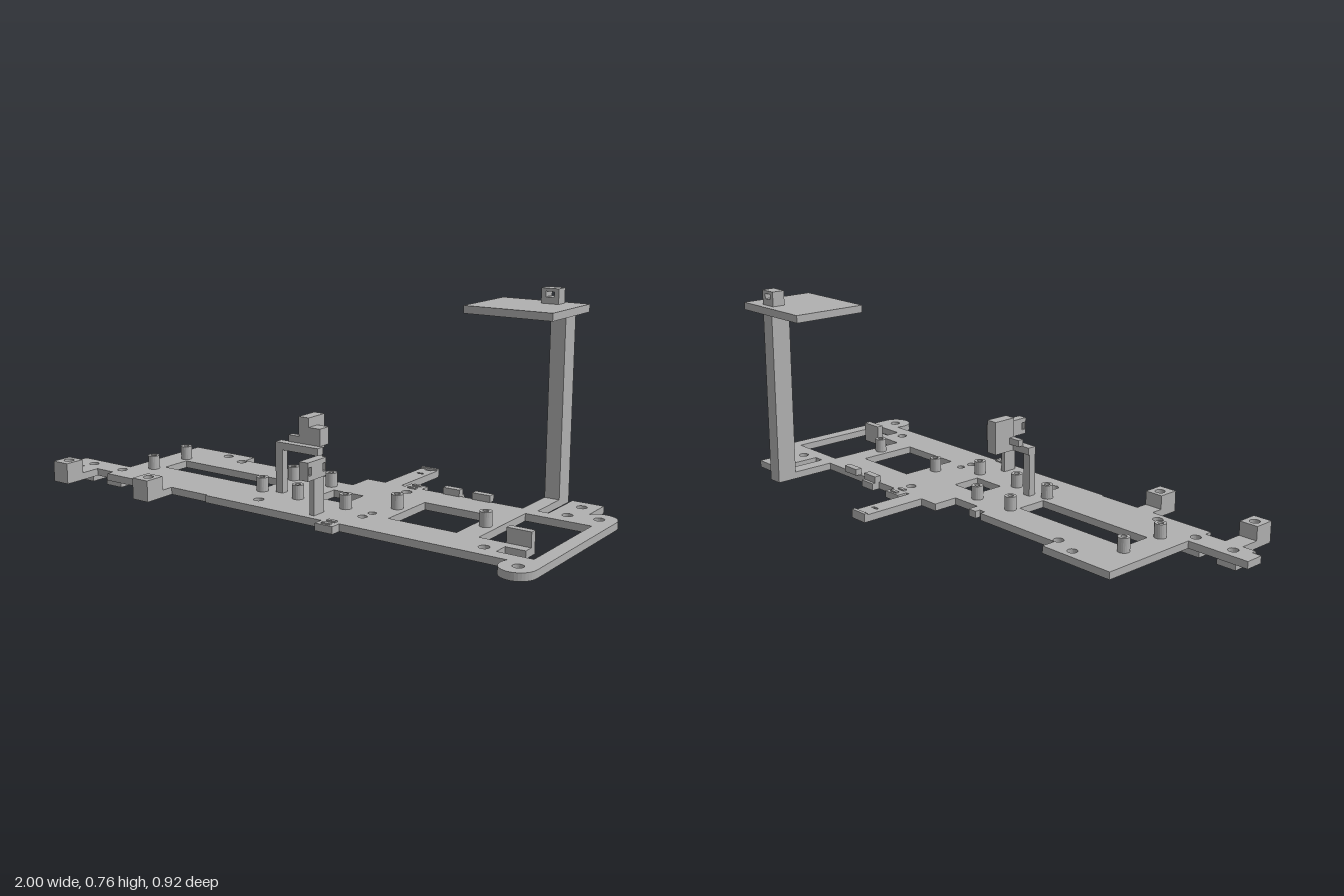
import * as THREE from 'three';

const BOTTOM = 0.027, TOP = 0.053;

export function createModel() {
  const model = new THREE.Group();
  model.name = 'chassis';
  const grey = new THREE.MeshStandardMaterial({ color: 0xb0b0b0 });
  grey.name = 'grey plastic';

  const add = (name, geometry) => {
    const mesh = new THREE.Mesh(geometry, grey);
    mesh.name = name;
    model.add(mesh);
    return mesh;
  };
  // Box given by its limits on each axis
  const box = (name, x0, x1, y0, y1, z0, z1) =>
    add(name, new THREE.BoxGeometry(x1 - x0, y1 - y0, z1 - z0)
      .translate((x0 + x1) / 2, (y0 + y1) / 2, (z0 + z1) / 2));
  const polygon = (points) => new THREE.Path(points.map(([x, z]) => new THREE.Vector2(x, z)));
  const rect = (x0, x1, z0, z1) => polygon([[x0, z0], [x1, z0], [x1, z1], [x0, z1]]);
  const circle = (x, z, r) => new THREE.Path().absarc(x, z, r, 0, Math.PI * 2, false);
  // Shape drawn in plan (x, z) and extruded between two heights
  const slab = (name, outline, holes, y0, y1) => {
    const shape = outline instanceof THREE.Shape ? outline : new THREE.Shape(outline.getPoints(10));
    shape.holes.push(...holes);
    const geometry = new THREE.ExtrudeGeometry(shape, { depth: y1 - y0, bevelEnabled: false, curveSegments: 10 });
    return add(name, geometry.rotateX(Math.PI / 2).translate(0, y1, 0));
  };

  // Base plate outline: back edge, right ears, front edge, left arm
  const plate = new THREE.Shape();
  const lines = (points) => points.forEach(([x, z]) => plate.lineTo(x, z));
  plate.moveTo(-0.765, -0.16);
  lines([[-0.475, -0.16], [-0.475, -0.105], [-0.12, -0.105], [-0.12, -0.085], [-0.095, -0.085],
    [-0.095, -0.105], [-0.06, -0.105], [-0.06, -0.065], [0.055, -0.065], [0.055, -0.16],
    [0.13, -0.16], [0.13, -0.415], [0.2, -0.415], [0.2, -0.16], [0.215, -0.16], [0.215, -0.2],
    [0.285, -0.2], [0.285, -0.16], [0.375, -0.16], [0.375, -0.19], [0.44, -0.19], [0.44, -0.16],
    [0.68, -0.16], [0.68, -0.395], [0.735, -0.395], [0.735, -0.16], [0.775, -0.16],
    [0.775, -0.34], [0.89, -0.34], [0.89, -0.223]]);
  plate.absarc(0.94, -0.19, 0.06, Math.PI + 0.588, Math.PI * 2, false);
  plate.absarc(0.94, 0.37, 0.06, 0, Math.PI + 0.524, false);
  lines([[0.285, 0.342], [0.285, 0.38], [0.215, 0.38], [0.215, 0.345], [-0.28, 0.345], [-0.28, 0.338],
    [-0.445, 0.338], [-0.445, 0.385], [-0.515, 0.385], [-0.515, 0.338], [-0.765, 0.338],
    [-0.765, 0.31], [-0.845, 0.31], [-0.845, 0.385], [-0.915, 0.385], [-0.915, 0.31],
    [-0.965, 0.31], [-0.965, 0.29], [-1, 0.29], [-1, 0.22], [-0.765, 0.22]]);

  const posts = [[-0.68, 0], [-0.68, 0.18], [-0.16, 0], [-0.16, 0.18], [0, -0.01], [0, 0.185],
    [0.2, 0.185], [0.34, 0.085], [0.675, 0.085]];
  const screwHoles = [[-0.57, -0.12], [-0.475, -0.085], [0.26, -0.1], [-0.1, 0.275], [0.775, 0.275],
    [0.835, -0.285], [0.835, -0.175], [0.94, -0.19], [0.94, 0.37], [-0.91, 0.265], [-0.76, 0.265],
    [-0.57, 0.3]];
  const cutouts = [
    rect(-0.655, -0.175, 0.03, 0.145),
    rect(0.04, 0.165, 0.03, 0.14),
    rect(0.38, 0.635, -0.025, 0.2),
    polygon([[0.715, -0.11], [0.95, -0.11], [0.95, 0.29], [0.825, 0.29], [0.825, 0.235],
      [0.895, 0.235], [0.895, 0.175], [0.81, 0.175], [0.81, 0.2], [0.715, 0.2]]),
    ...screwHoles.map(([x, z]) => circle(x, z, 0.018)),
    ...posts.map(([x, z]) => circle(x, z, 0.01)),
    circle(0.305, 0.182, 0.014), circle(0.3, 0.232, 0.016),
    rect(0.153, 0.18, -0.402, -0.392), rect(0.153, 0.18, -0.345, -0.335),
  ];
  slab('base plate', plate, cutouts, BOTTOM, TOP);

  // Hollow standoff posts
  for (const [x, z] of posts) {
    const profile = [[0.01, TOP], [0.021, TOP], [0.021, 0.103], [0.01, 0.103], [0.01, TOP]];
    const geometry = new THREE.LatheGeometry(profile.map(([r, y]) => new THREE.Vector2(r, y)), 20).toNonIndexed();
    geometry.computeVertexNormals();
    add('standoff post', geometry.translate(x, 0, z));
  }

  // Front mounting blocks and the nut pockets under the left arm
  for (const x of [-0.88, -0.48]) {
    slab('mounting block', rect(x - 0.035, x + 0.035, 0.383, 0.46), [circle(x, 0.417, 0.018)], BOTTOM, 0.103);
  }
  for (const x of [-0.907, -0.762]) {
    slab('nut pocket', rect(x - 0.037, x + 0.037, 0.235, 0.31), [circle(x, 0.265, 0.018)], 0, BOTTOM);
  }

  // Cable bumps on the small tabs
  for (const z of [-0.185, -0.15, 0.335, 0.365]) box('cable bump', 0.235, 0.268, TOP, 0.058, z - 0.007, z + 0.007);
  box('arm lip', 0.13, 0.2, TOP, 0.059, -0.415, -0.402);

  // Low stops on the back edge and upright stop in the right frame
  box('back stop', 0.375, 0.44, TOP, 0.077, -0.178, -0.152);
  box('back stop', 0.49, 0.56, TOP, 0.077, -0.178, -0.152);
  box('frame stop', 0.81, 0.895, TOP, 0.103, 0.175, 0.2);

  // Tall mast with platform and loop
  box('mast', 0.68, 0.735, TOP, 0.685, -0.395, -0.32);
  box('platform', 0.425, 0.755, 0.685, 0.712, -0.46, -0.18);
  const loop = new THREE.Shape([[0.61, 0.712], [0.675, 0.712], [0.675, 0.765], [0.61, 0.765]]
    .map(([x, y]) => new THREE.Vector2(x, y)));
  loop.holes.push(rect(0.627, 0.658, 0.735, 0.754));
  add('platform loop', new THREE.ExtrudeGeometry(loop, { depth: 0.048, bevelEnabled: false }).translate(0, 0, -0.433));

  // Front sensor holder: post carrying a plate with two windows
  box('sensor post', 0.15, 0.168, TOP, 0.183, 0.265, 0.32);
  box('sensor post top', 0.15, 0.168, 0.183, 0.245, 0.265, 0.275);
  const holder = new THREE.Shape([[-0.375, 0.183], [-0.275, 0.183], [-0.275, 0.245], [-0.375, 0.245]]
    .map(([x, y]) => new THREE.Vector2(x, y)));
  holder.holes.push(rect(-0.37, -0.355, 0.2, 0.228), rect(-0.293, -0.278, 0.2, 0.228));
  add('sensor holder', new THREE.ExtrudeGeometry(holder, { depth: 0.035, bevelEnabled: false })
    .rotateY(Math.PI / 2).translate(0.15, 0, 0));

  // Central bracket: post, cross bar and stepped clip
  box('bracket post', -0.11, -0.08, TOP, 0.21, 0.14, 0.168);
  box('bracket bar', -0.11, 0.07, 0.208, 0.234, 0.135, 0.168);
  box('clip body', -0.03, 0.013, 0.208, 0.328, 0.05, 0.14);
  box('clip side', 0.013, 0.06, 0.234, 0.295, 0.09, 0.14);
  box('clip foot', -0.075, -0.03, 0.234, 0.258, 0.118, 0.14);

  return model;
}
